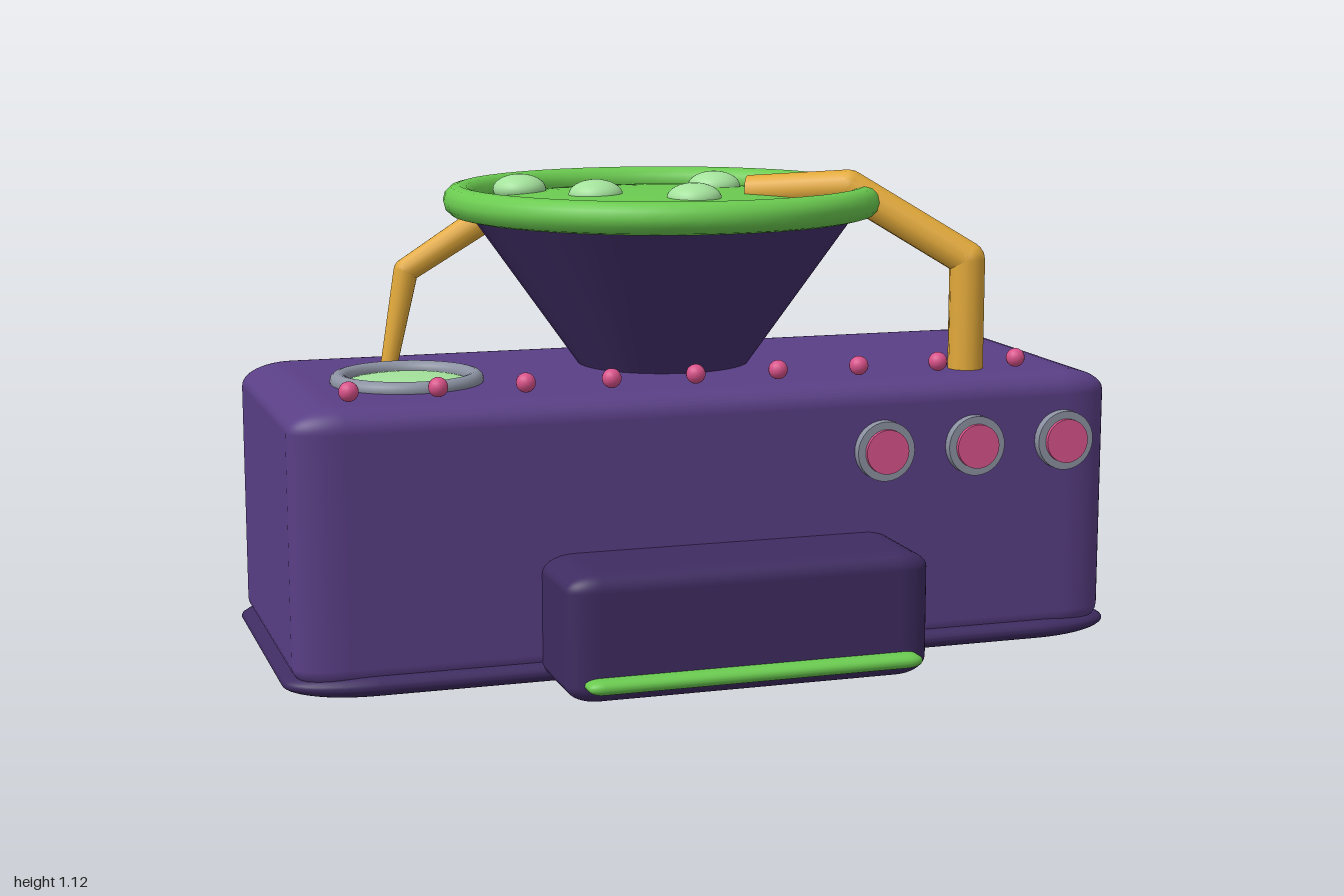
import * as THREE from 'three';
import { RoundedBoxGeometry } from 'three/addons/geometries/RoundedBoxGeometry.js';

const paint = (color, side = THREE.FrontSide) => new THREE.MeshStandardMaterial({ color, side });

export function createModel() {
  const model = new THREE.Group();
  const purple = paint(0x5a3f86);
  const dark = paint(0x3f2c62);
  const green = paint(0x6bcb50);
  const pale = paint(0xa4e29c);
  const pink = paint(0xd9528a);
  const grey = paint(0x8c92a2);
  const gold = paint(0xe2a93a);

  const add = (name, geometry, material, x = 0, y = 0, z = 0) => {
    const mesh = new THREE.Mesh(geometry, material);
    mesh.name = name;
    mesh.position.set(x, y, z);
    model.add(mesh);
    return mesh;
  };

  // Box given by its extents, with a separate corner radius along each axis
  const softBox = (name, material, [x0, x1], [y0, y1], [z0, z1], rx, ry, rz) => {
    const geometry = new RoundedBoxGeometry((x1 - x0) / rx, (y1 - y0) / ry, (z1 - z0) / rz, 5, 1);
    geometry.scale(rx, ry, rz);
    return add(name, geometry, material, (x0 + x1) / 2, (y0 + y1) / 2, (z0 + z1) / 2);
  };

  // Shallow dome, optionally a whole flattened ball
  const dome = (r, h, whole = false) =>
    new THREE.SphereGeometry(1, 32, 16, 0, Math.PI * 2, 0, whole ? Math.PI : Math.PI / 2).scale(r, h, r);

  const ring = (r, tube, flat = 1) =>
    new THREE.TorusGeometry(r, tube, 12, 48).rotateX(Math.PI / 2).scale(1, flat, 1);

  // Housing
  softBox('basePlate', dark, [-1, 1], [0, 0.07], [-0.44, 0.375], 0.2, 0.034, 0.1);
  softBox('body', purple, [-0.98, 0.975], [0.02, 0.655], [-0.42, 0.357], 0.12, 0.055, 0.06);
  softBox('tray', dark, [-0.425, 0.42], [0.015, 0.303], [0.2, 0.585], 0.075, 0.04, 0.04);
  softBox('trayLip', green, [-0.39, 0.39], [0.045, 0.077], [0.5, 0.625], 0.035, 0.0155, 0.02);

  // Funnel filled to the rim, with bubbles on the surface
  const fz = -0.1;
  add('funnel', new THREE.CylinderGeometry(0.483, 0.2, 0.4, 48, 1, true),
    paint(0x46316e, THREE.DoubleSide), 0, 0.845, fz);
  add('funnelRim', ring(0.4875, 0.0375), green, 0, 1.0475, fz);
  add('liquid', dome(0.462, 0.035), green, 0, 1.03, fz);
  for (const [x, z] of [[-0.3, -0.31], [0.18, -0.25], [-0.165, -0.105], [0.03, 0.052]])
    add('bubble', dome(0.065, 0.037, true), pale, x, 1.06, z);

  // Round window on the top
  add('windowRing', ring(0.157, 0.02), grey, -0.655, 0.66, 0.025);
  add('windowGlass', dome(0.15, 0.02), pale, -0.655, 0.65, 0.025);

  // Row of small beads above the front edge
  for (let i = 0; i < 9; i++)
    add('bead', new THREE.SphereGeometry(0.022, 16, 12), pink, -0.852 + i * 0.196, 0.697, 0.365);

  // Front buttons
  for (const x of [0.39, 0.617, 0.845]) {
    add('buttonBezel', new THREE.CylinderGeometry(0.07, 0.07, 0.04, 32).rotateX(Math.PI / 2), grey, x, 0.495, 0.36);
    add('button', new THREE.CylinderGeometry(0.052, 0.052, 0.04, 32).rotateX(Math.PI / 2), pink, x, 0.495, 0.37);
  }

  // Bent arms: tapered straight lengths with round joints, points are [x, y, z, radius]
  const arm = (name, points) => {
    const group = new THREE.Group();
    group.name = name;
    const up = new THREE.Vector3(0, 1, 0);
    for (let i = 0; i < points.length - 1; i++) {
      const [a, b] = [points[i], points[i + 1]];
      const start = new THREE.Vector3(...a.slice(0, 3));
      const dir = new THREE.Vector3(...b.slice(0, 3)).sub(start);
      const rod = new THREE.Mesh(new THREE.CylinderGeometry(b[3], a[3], dir.length(), 12), gold);
      rod.name = 'armLength';
      rod.position.copy(start).addScaledVector(dir, 0.5);
      rod.quaternion.setFromUnitVectors(up, dir.clone().normalize());
      group.add(rod);
      if (i > 0) {
        const joint = new THREE.Mesh(new THREE.SphereGeometry(a[3], 12, 8), gold);
        joint.name = 'armJoint';
        joint.position.copy(start);
        group.add(joint);
      }
    }
    model.add(group);
  };
  arm('leftArm', [[0.65, 0.64, 0.23, 0.042], [0.65, 0.915, 0.23, 0.042], [0.4, 1.08, 0.1, 0.042], [0.195, 1.063, -0.035, 0.04]]);
  arm('rightArm', [[-0.648, 0.64, -0.235, 0.02], [-0.6, 0.88, -0.235, 0.03], [-0.37, 1.03, -0.2, 0.036]]);

  return model;
}
